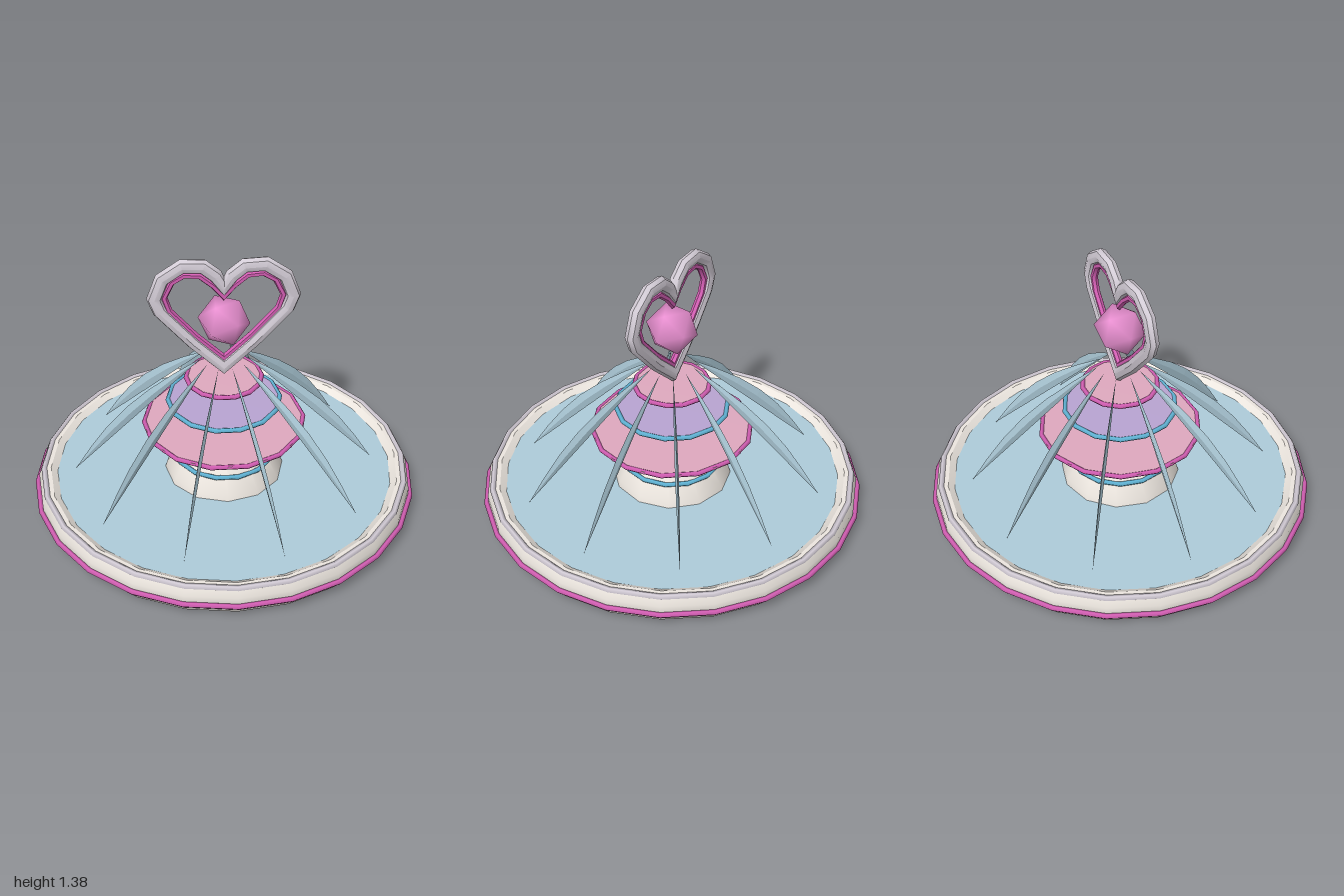
import * as THREE from 'three';
import { toCreasedNormals } from 'three/addons/utils/BufferGeometryUtils.js';

const COLORS = {
  stone: 0xece6df, silver: 0xd3ccd6, water: 0xaeccda, pink: 0xdfa9bf,
  lavender: 0xb9a4d2, magenta: 0xd45fb4, blue: 0x62b6d8, gem: 0xe88fd0,
};

function part(name, geometry, color) {
  const mesh = new THREE.Mesh(geometry, new THREE.MeshStandardMaterial({ color }));
  mesh.name = name;
  return mesh;
}

function lathe(name, profile, sides, color, crease = 0.6) {
  const points = profile.map(([r, y]) => new THREE.Vector2(r, y));
  return part(name, toCreasedNormals(new THREE.LatheGeometry(points, sides), crease), color);
}

function ring(name, radius, y, tube, sides, color) {
  const mesh = part(name, new THREE.TorusGeometry(radius, tube, 5, sides), color);
  mesh.rotation.x = Math.PI / 2;
  mesh.position.y = y;
  return mesh;
}

// Mitred sweep of a many-sided section along a closed heart path; half is the right side, tip to dip
function heartSweep(half, width, depth, sides) {
  const mirrored = half.slice(1, -1).reverse().map(([x, y]) => [-x, y]);
  const path = [...half, ...mirrored].map(([x, y]) => new THREE.Vector2(x, y));
  const n = path.length, positions = [], indices = [];
  path.forEach((p, i) => {
    const a = p.clone().sub(path[(i + n - 1) % n]).normalize();
    const b = path[(i + 1) % n].clone().sub(p).normalize();
    const normal = new THREE.Vector2(a.y + b.y, -a.x - b.x).normalize();
    const mitre = Math.min(1.5, 1 / Math.max(0.3, normal.x * a.y - normal.y * a.x));
    for (let j = 0; j < sides; j++) {
      const angle = (j / sides) * Math.PI * 2;
      const w = Math.cos(angle) * width * mitre;
      positions.push(p.x + normal.x * w, p.y + normal.y * w, Math.sin(angle) * depth);
      const k = (j + 1) % sides, next = ((i + 1) % n) * sides;
      indices.push(i * sides + j, next + j, next + k, i * sides + j, next + k, i * sides + k);
    }
  });
  const geometry = new THREE.BufferGeometry();
  geometry.setAttribute('position', new THREE.Float32BufferAttribute(positions, 3));
  geometry.setIndex(indices);
  return toCreasedNormals(geometry, 0.7);
}

// Thin bowed blade of water, pointed at both ends, lying in the x-y plane
function jetGeometry() {
  const geometry = new THREE.CylinderGeometry(1, 1, 1, 4, 6, true);
  const pos = geometry.attributes.position;
  for (let i = 0; i < pos.count; i++) {
    const t = pos.getY(i) + 0.5;
    const swell = Math.sin(Math.PI * t);
    const lift = (0.036 + 0.036 * pos.getX(i)) * swell * Math.SQRT1_2;
    pos.setXYZ(i, 0.78 - 0.67 * t + lift, 0.155 + 0.665 * t + lift, pos.getZ(i) * 0.009 * swell);
  }
  const flat = geometry.toNonIndexed();
  flat.computeVertexNormals();
  return flat;
}

export function createModel() {
  const model = new THREE.Group();
  model.name = 'fountain';

  // Basin with its rim, band and water
  model.add(lathe('basin', [[0, 0], [0.94, 0.005], [0.965, 0.04], [0.975, 0.08], [0.975, 0.125],
    [0.955, 0.165], [0.91, 0.165], [0.86, 0.13]], 24, COLORS.stone));
  model.add(ring('basinRim', 0.945, 0.16, 0.016, 24, COLORS.silver));
  model.add(ring('basinBand', 0.983, 0.08, 0.015, 24, COLORS.magenta));
  model.add(lathe('basinWater', [[0.88, 0.142], [0, 0.142]], 24, COLORS.water));

  // Pedestal
  model.add(lathe('pedestal', [[0.31, 0.14], [0.30, 0.175], [0.235, 0.295], [0.2, 0.315], [0, 0.322]],
    12, COLORS.stone));
  model.add(ring('pedestalBand', 0.26, 0.255, 0.013, 14, COLORS.blue));

  // Three floating tiers, each a thin plate with a trim ring
  const tiers = [
    ['lowerTier', 0.41, 0.44, COLORS.pink, COLORS.magenta],
    ['middleTier', 0.285, 0.572, COLORS.lavender, COLORS.blue],
    ['upperTier', 0.19, 0.705, COLORS.pink, COLORS.magenta],
  ];
  for (const [name, r, y, color, trim] of tiers) {
    const tier = new THREE.Group();
    tier.name = name;
    tier.add(lathe(name + 'Plate', [[0, y - 0.01], [r, y - 0.008], [r, y + 0.008], [0, y + 0.01]], 14, color));
    tier.add(ring(name + 'Trim', r, y, 0.013, 14, trim));
    model.add(tier);
  }

  // Ten water jets fanned around the axis
  const jets = new THREE.Group();
  jets.name = 'waterJets';
  const jet = jetGeometry();
  for (let i = 0; i < 10; i++) {
    const mesh = part('waterJet', jet, COLORS.water);
    mesh.rotation.y = (i / 10) * Math.PI * 2;
    jets.add(mesh);
  }
  model.add(jets);

  // Heart frame with a coloured inner lining
  const frame = [[0, 0.77], [0.15, 0.915], [0.31, 1.1], [0.335, 1.17], [0.295, 1.275],
    [0.2, 1.34], [0.1, 1.335], [0.04, 1.285], [0, 1.225]];
  const lining = [[0, 0.82], [0.14, 0.955], [0.265, 1.1], [0.288, 1.175], [0.25, 1.255],
    [0.19, 1.292], [0.115, 1.285], [0.05, 1.23], [0, 1.17]];
  model.add(part('heartFrame', heartSweep(frame, 0.036, 0.032, 8), COLORS.silver));
  model.add(part('heartLining', heartSweep(lining, 0.016, 0.018, 6), COLORS.magenta));

  // Softly shaded gem hung inside the heart
  const gemGeometry = new THREE.IcosahedronGeometry(0.13, 0);
  gemGeometry.rotateX(0.3);
  gemGeometry.rotateY(0.5);
  const normals = gemGeometry.attributes.position.clone();
  gemGeometry.setAttribute('normal', normals);
  gemGeometry.normalizeNormals();
  const gem = part('gem', gemGeometry, COLORS.gem);
  gem.position.y = 1.035;
  model.add(gem);

  return model;
}
